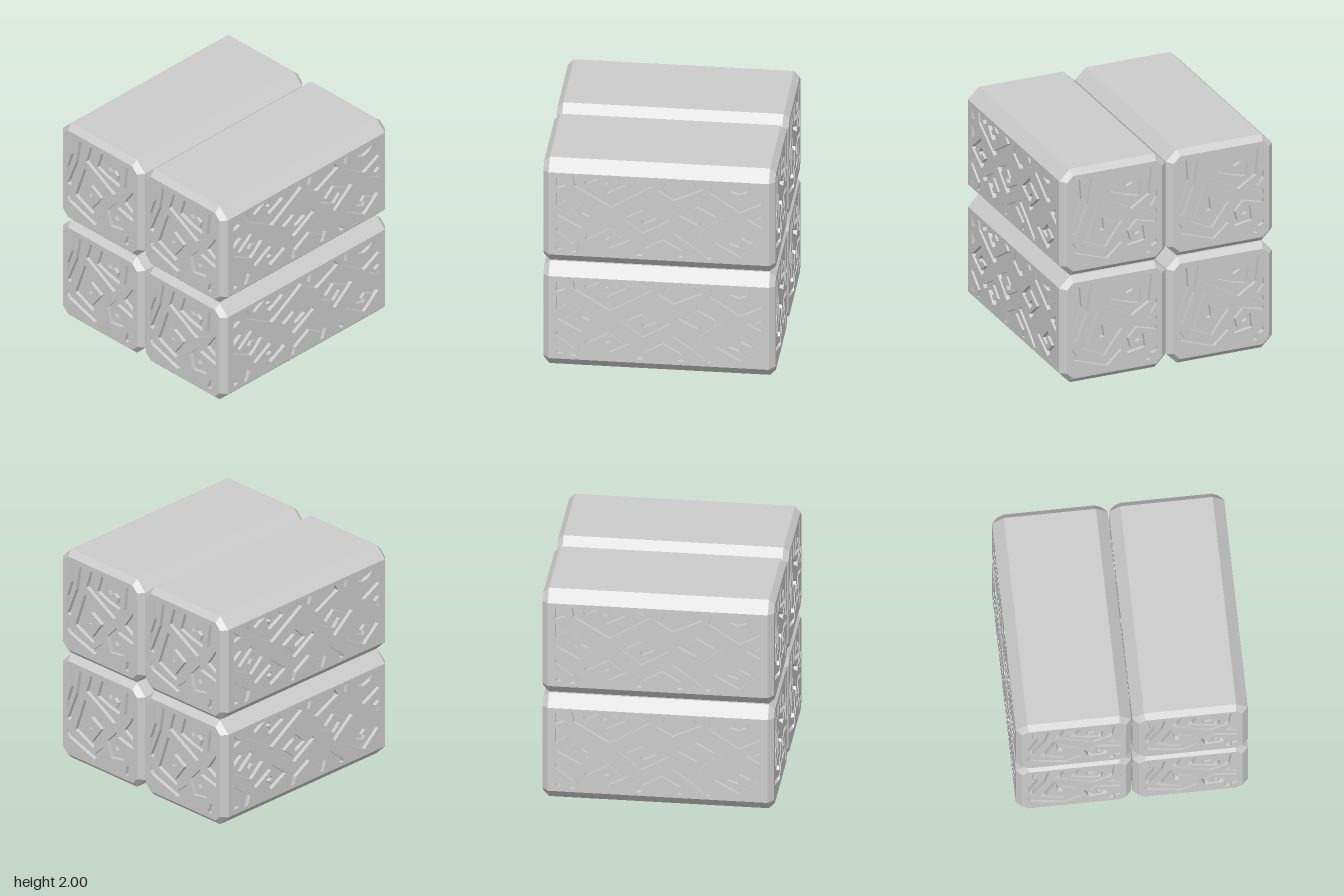
import * as THREE from 'three';

const H = 0.4975, F = 0.3975;       // half size of a block and of its flat sides
const END_H = 0.4475, END_F = 0.39; // the same for the inset end face
const L = 0.95, DEPTH = 0.035;      // half length of the flat sides, carving depth
const UNIT = 188;                   // carving layout units per model unit

const material = new THREE.MeshStandardMaterial({ color: 0xcccccc, flatShading: true, side: THREE.DoubleSide });

const octagon = (h, f) => [[h, -f], [h, f], [f, h], [-f, h], [-h, f], [-h, -f], [-f, -h], [f, -h]];

// Widens a path into a mitred strip
function strip(path, width) {
  const pts = path.map(([x, y]) => new THREE.Vector2(x, y));
  const left = [], right = [];
  pts.forEach((p, i) => {
    const a = pts[i - 1] ? p.clone().sub(pts[i - 1]).normalize() : null;
    const b = pts[i + 1] ? pts[i + 1].clone().sub(p).normalize() : null;
    const d = a || b, e = b || a;
    const n = new THREE.Vector2(-d.y - e.y, d.x + e.x).normalize();
    n.multiplyScalar(width / 2 / Math.max(0.45, n.x * -d.y + n.y * d.x));
    left.push([p.x + n.x, p.y + n.y]);
    right.unshift([p.x - n.x, p.y - n.y]);
  });
  return [...left, ...right];
}

// Clips a polygon to the carved rectangle [x0, y0, x1, y1]
function clip(poly, [x0, y0, x1, y1]) {
  for (const [axis, limit, sign] of [[0, x0, 1], [0, x1, -1], [1, y0, 1], [1, y1, -1]]) {
    const out = [];
    poly.forEach((p, i) => {
      const q = poly[(i + 1) % poly.length];
      const dp = (p[axis] - limit) * sign, dq = (q[axis] - limit) * sign;
      if (dp >= 0) out.push(p);
      if (dp * dq < 0) {
        const t = dp / (dp - dq);
        out.push([p[0] + (q[0] - p[0]) * t, p[1] + (q[1] - p[1]) * t]);
      }
    });
    poly = out;
  }
  return poly;
}

// Rhombic spiral winding inwards
function spiral(cx, cy, size, start, dir) {
  const path = [];
  for (let k = 0; k < 6; k++) {
    const a = (start + dir * k) * Math.PI / 2, r = size - 0.14 * k;
    path.push([cx + 45 * r * Math.cos(a), cy + 31 * r * Math.sin(a)]);
  }
  return path;
}

// Plate with carved openings
function plate(outline, pockets, rect) {
  const cx = (rect[0] + rect[2]) / 2, cy = (rect[1] + rect[3]) / 2;
  const shape = new THREE.Shape(outline.map(([x, y]) => new THREE.Vector2(x, y)));
  for (const pocket of pockets) {
    const pts = clip(pocket, rect).map(([x, y]) => new THREE.Vector2((x - cx) / UNIT, (cy - y) / UNIT));
    if (pts.length > 2) shape.holes.push(new THREE.Path(pts));
  }
  return new THREE.ExtrudeGeometry(shape, { depth: DEPTH, bevelEnabled: false });
}

// Long side: spirals with zigzag bands between them
function sidePlate() {
  const paths = [
    spiral(155, 72, 0.82, 2, 1), spiral(112, 133, 0.86, 3, -1), spiral(211, 130, 0.95, 0, 1),
    spiral(300, 122, 0.95, 1, -1), spiral(158, 172, 0.85, 2, 1), spiral(370, 167, 0.85, 2, -1),
    [[100, 50], [105, 77], [160, 110], [222, 72], [195, 50]],
    [[250, 50], [240, 78], [262, 92], [305, 72], [290, 50]],
    [[330, 50], [325, 78], [370, 108], [415, 85]],
    [[415, 108], [388, 124], [415, 140]],
    [[205, 210], [210, 185], [245, 165], [278, 185], [270, 210]],
    [[325, 215], [318, 195], [290, 172], [262, 152]],
    [[60, 150], [105, 185], [95, 210]],
  ];
  const pockets = paths.map((p) => strip(p, 7.5));
  pockets.push(
    [[72, 92], [90, 105], [72, 118]], [[72, 64], [88, 79], [72, 84]], [[73, 190], [83, 194], [73, 197]],
    [[352, 73], [368, 72], [388, 65], [382, 74], [368, 79]], [[388, 84], [404, 62], [404, 78]].map(([x, y]) => [x, y - 3]),
  );
  return plate([[-L, -F], [L, -F], [L, F], [-L, F]], pockets.slice(0, -1), [72, 62, 404, 199]);
}

// Block end: three spirals with long slanted cuts
function endPlate() {
  const paths = [
    [[612, 78], [625, 72], [636, 80], [633, 97], [612, 92], [590, 84], [600, 50]],
    [[575, 50], [565, 85], [622, 118], [650, 100], [655, 50]],
    [[570, 150], [567, 122], [600, 142], [574, 178], [540, 162], [560, 103]],
    [[628, 166], [640, 160], [642, 178], [618, 182], [612, 160], [630, 140], [675, 152]],
    [[675, 90], [652, 125], [675, 138]],
    [[527, 50], [530, 90], [510, 150]],
    [[550, 45], [541, 100], [521, 150]],
    [[510, 160], [524, 180], [578, 198], [602, 176]],
    [[650, 215], [655, 192], [675, 182]],
  ];
  return plate(octagon(END_H, END_F), paths.map((p) => strip(p, 7.5)), [517, 55, 667, 205]);
}

// Chamfered shell, left open where the carved plates sit
function shellGeometry() {
  const rings = [[-1, END_H, END_F], [-L, H, F], [L, H, F], [1, END_H, END_F]]
    .map(([x, h, f]) => octagon(h, f).map(([z, y]) => [x, y, z]));
  const pos = [];
  for (let i = 0; i < 3; i++) {
    for (let j = 0; j < 8; j++) {
      if (i === 1 && j % 4 === 0) continue;
      const k = (j + 1) % 8, a = rings[i], b = rings[i + 1];
      pos.push(...a[j], ...b[j], ...a[k], ...a[k], ...b[j], ...b[k]);
    }
  }
  const geo = new THREE.BufferGeometry();
  geo.setAttribute('position', new THREE.Float32BufferAttribute(pos, 3));
  geo.computeVertexNormals();
  return geo;
}

export function createModel() {
  const model = new THREE.Group();
  model.name = 'carvedBlocks';
  const shell = shellGeometry(), side = sidePlate(), end = endPlate();
  const floor = new THREE.BoxGeometry(2 - 2 * DEPTH, 0.82, 2 * (H - DEPTH));

  const add = (parent, geo, name) => {
    const mesh = new THREE.Mesh(geo, material);
    mesh.name = name;
    parent.add(mesh);
    return mesh;
  };

  // Two by two stack of identical blocks
  for (const y of [0.4975, 1.5025]) {
    for (const z of [-0.5025, 0.5025]) {
      const block = new THREE.Group();
      block.name = 'block';
      block.position.set(0, y, z);
      add(block, shell, 'chamferedShell');
      add(block, floor, 'carvingFloor');
      // Carved plates, repeated by a half turn
      for (const turn of [0, Math.PI]) {
        const half = new THREE.Group();
        half.name = 'carvedFaces';
        half.rotation.y = turn;
        add(half, side, 'carvedSide').position.z = H - DEPTH;
        const cap = add(half, end, 'carvedEnd');
        cap.position.x = 1 - DEPTH;
        cap.rotation.y = Math.PI / 2;
        block.add(half);
      }
      model.add(block);
    }
  }
  return model;
}
